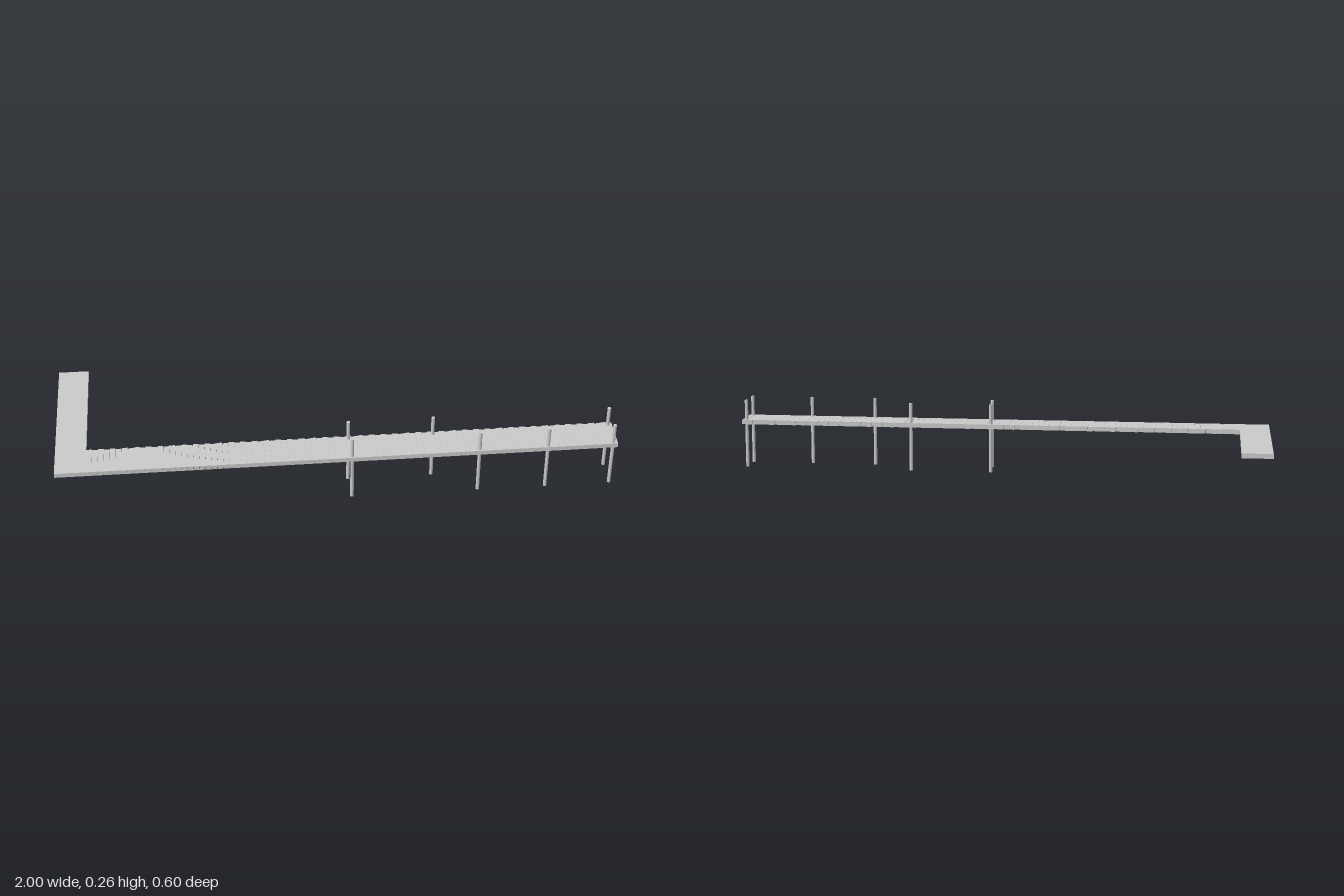
import * as THREE from 'three';

export function createModel() {
  const model = new THREE.Group();
  const mat = new THREE.MeshStandardMaterial({ color: 0xcccccc });
  const bottom = 0.167, top = 0.184, front = 0.299;

  const addBox = (parent, name, x0, x1, z0, z1) => {
    const mesh = new THREE.Mesh(new THREE.BoxGeometry(x1 - x0, top - bottom, z1 - z0), mat);
    mesh.position.set((x0 + x1) / 2, (top + bottom) / 2, (z0 + z1) / 2);
    mesh.name = name;
    parent.add(mesh);
  };

  // Solid side landing running back from the corner
  addBox(model, 'sideLanding', -1, -0.89, -0.3, front);

  // Walkway of narrow crosswise planks with a slightly staggered back edge
  const walkway = new THREE.Group();
  walkway.name = 'walkway';
  const count = 90, start = -0.89, pitch = (1 - start) / count;
  for (let i = 0; i < count; i++) {
    const x = start + i * pitch;
    addBox(walkway, 'plank', x, x + pitch - 0.0004, i % 2 ? 0.177 : 0.173, front);
  }
  model.add(walkway);

  // Mooring posts standing through the walkway: front row and back row
  const posts = new THREE.Group();
  posts.name = 'posts';
  const postGeometry = new THREE.CylinderGeometry(0.0065, 0.0065, 0.259, 12);
  const rows = [
    { z: 0.2875, xs: [0.048, 0.503, 0.749, 0.984] },
    { z: 0.188, xs: [0.043, 0.347, 0.984] },
  ];
  for (const { z, xs } of rows) {
    for (const x of xs) {
      const post = new THREE.Mesh(postGeometry, mat);
      post.position.set(x, 0.1295, z);
      post.name = 'post';
      posts.add(post);
    }
  }
  model.add(posts);
  return model;
}
